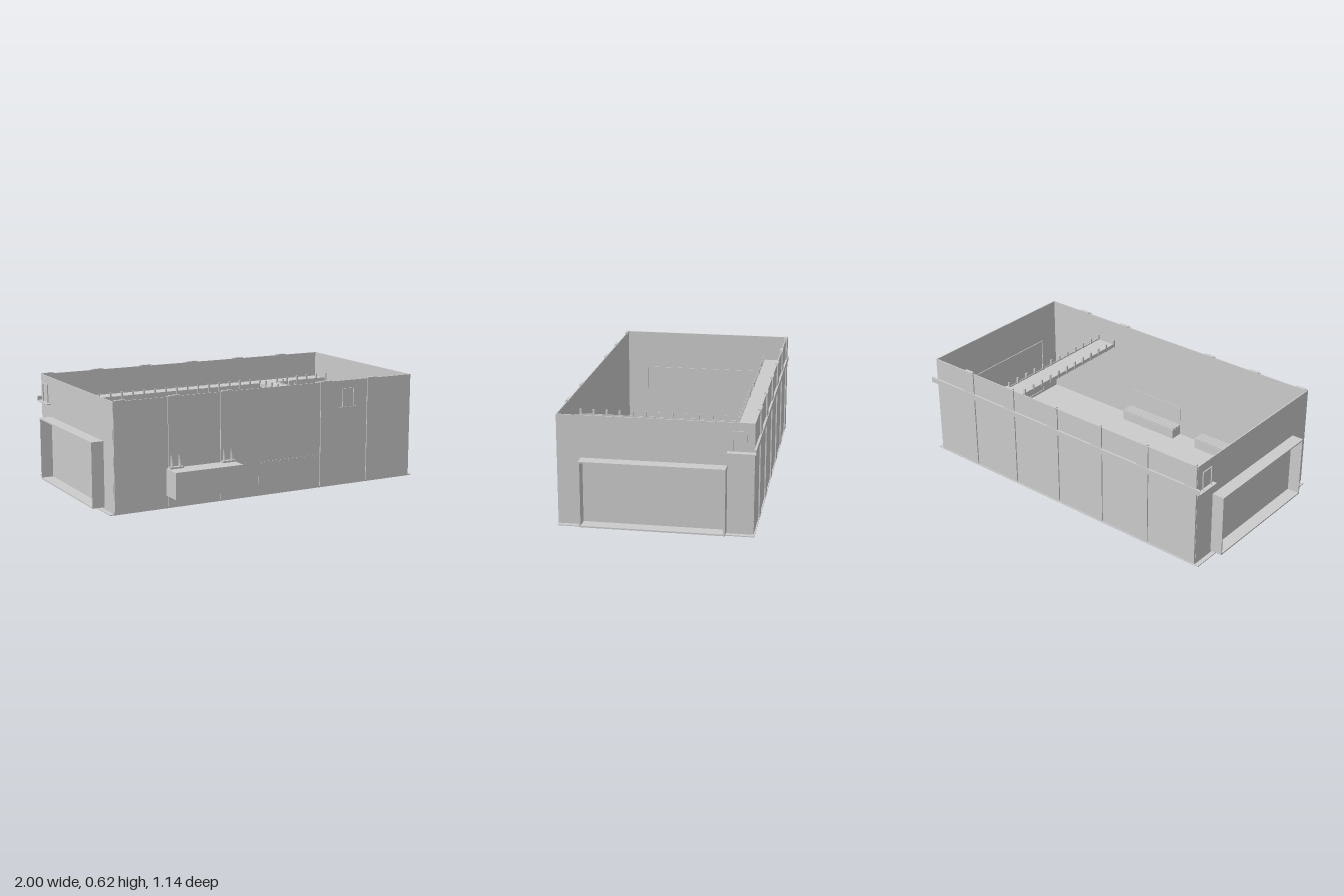
import * as THREE from 'three';

export function createModel() {
  const model = new THREE.Group();
  const mat = new THREE.MeshStandardMaterial({ color: 0xcccccc, side: THREE.DoubleSide, flatShading: true });

  const add = (name, geo, parent = model) => {
    const m = new THREE.Mesh(geo, mat);
    m.name = name;
    parent.add(m);
    return m;
  };
  // Box given by its two extremes on each axis
  const box = (name, x0, x1, y0, y1, z0, z1, parent) => {
    const m = add(name, new THREE.BoxGeometry(x1 - x0, y1 - y0, z1 - z0), parent);
    m.position.set((x0 + x1) / 2, (y0 + y1) / 2, (z0 + z1) / 2);
    return m;
  };
  // Rounded rectangle in the floor plane (shape y = -z)
  const rounded = (Type, x0, x1, z0, z1, r) => {
    const p = new Type(), a = -z1, b = -z0;
    p.moveTo(x0 + r, a);
    p.lineTo(x1 - r, a); p.quadraticCurveTo(x1, a, x1, a + r);
    p.lineTo(x1, b - r); p.quadraticCurveTo(x1, b, x1 - r, b);
    p.lineTo(x0 + r, b); p.quadraticCurveTo(x0, b, x0, b - r);
    p.lineTo(x0, a + r); p.quadraticCurveTo(x0, a, x0 + r, a);
    return p;
  };
  const slab = (name, shape, y, h) => {
    const g = new THREE.ExtrudeGeometry(shape, { depth: h, bevelEnabled: false, curveSegments: 3 });
    add(name, g.rotateX(-Math.PI / 2)).position.y = y;
  };

  // Floor with one open hatch; the other one is closed
  const floor = new THREE.Shape();
  floor.moveTo(-0.955, -0.457); floor.lineTo(0.955, -0.457);
  floor.lineTo(0.955, 0.565); floor.lineTo(-0.955, 0.565);
  floor.closePath();
  floor.holes.push(rounded(THREE.Path, 0.005, 0.515, -0.205, 0.15, 0.07));
  slab('floor', floor, 0.02, 0.005);

  // Collars around the hatches
  for (const x of [-0.69, 0]) {
    const collar = rounded(THREE.Shape, x, x + 0.52, -0.21, 0.155, 0.07);
    collar.holes.push(rounded(THREE.Path, x + 0.006, x + 0.514, -0.204, 0.149, 0.067));
    slab('hatchCollar', collar, 0, 0.028);
  }

  // Walls
  box('frontWall', -0.93, 0.93, 0.02, 0.617, 0.455, 0.461);
  box('backWall', -0.93, 0.93, 0.02, 0.617, -0.559, -0.553);
  for (const s of [-1, 1]) {
    const x = s * 0.928;
    box('endWall', x - 0.003, x + 0.003, 0.02, 0.617, -0.556, 0.458);
  }

  // Flat vertical ribs with a tab hooked over the wall top
  [-0.93, -0.62, -0.31, 0, 0.32, 0.63].forEach((x, i) => {
    box('backRib', x, x + 0.077, 0.03, 0.62, -0.566, -0.558);
    box('backRibTab', x + 0.01, x + 0.067, 0.616, 0.623, -0.566, -0.546);
    if (i === 3) return;
    box('frontRib', x, x + 0.077, 0.03, 0.62, 0.46, 0.467);
    box('frontRibTab', x + 0.01, x + 0.067, 0.616, 0.623, 0.449, 0.467);
  });

  // Open frames on both ends
  for (const s of [-1, 1]) {
    const frame = new THREE.Group();
    frame.name = 'endFrame';
    model.add(frame);
    const a = s > 0 ? 0.92 : -1, b = a + 0.08;
    box('frameTop', a, b, 0.382, 0.39, -0.42, 0.335, frame);
    box('frameBottom', a, b, 0.035, 0.043, -0.42, 0.335, frame);
    box('frameSide', a, b, 0.035, 0.39, -0.42, -0.412, frame);
    box('frameSide', a, b, 0.035, 0.39, 0.327, 0.335, frame);
  }

  // Ledge through the back wall, and its cross beam
  box('ledge', -0.955, 0.968, 0.46, 0.466, -0.57, -0.42);
  box('ledgeRail', -0.955, 0.968, 0.466, 0.486, -0.57, -0.567);
  box('ledgeRailTop', -0.955, 0.968, 0.486, 0.49, -0.57, -0.559);
  box('crossBeam', 0.44, 0.562, 0.46, 0.466, -0.42, 0.465);

  // Low lips and studs on the walkway edges
  const edge = (x0, z0, x1, z1) => {
    const t = 0.002;
    box('edgeLip', x0 - t, x1 + t, 0.452, 0.474, z0 - t, z1 + t);
    const n = Math.round((x1 - x0 + z1 - z0) / 0.07);
    for (let i = 0; i <= n; i++) {
      const x = x0 + (x1 - x0) * i / n, z = z0 + (z1 - z0) * i / n;
      box('edgeStud', x - 0.005, x + 0.005, 0.45, 0.5, z - 0.005, z + 0.005);
    }
  };
  edge(-0.92, -0.42, 0.44, -0.42);
  edge(0.562, -0.42, 0.92, -0.42);
  edge(0.44, -0.42, 0.44, 0.45);
  edge(0.562, -0.42, 0.562, 0.45);

  // Hoop handles at the walkway ends
  const hoop = (x, z, turn) => {
    const g = new THREE.Group();
    g.name = 'hoopHandle';
    model.add(g);
    for (const s of [-1, 1]) box('hoopLeg', s * 0.036 - 0.002, s * 0.036 + 0.002, 0.466, 0.572, -0.003, 0.003, g);
    box('hoopBar', -0.038, 0.038, 0.568, 0.572, -0.003, 0.003, g);
    g.position.set(x, 0, z);
    g.rotation.y = turn;
  };
  hoop(-0.938, -0.483, Math.PI / 2);
  hoop(0.934, -0.483, Math.PI / 2);
  hoop(0.503, 0.464, 0);

  // Box on the front with wedge brackets above it
  box('frontBox', -0.63, -0.23, 0.09, 0.235, 0.46, 0.573);
  const wedge = new THREE.Shape();
  wedge.moveTo(0, 0); wedge.lineTo(0.025, 0); wedge.lineTo(0.005, 0.065); wedge.lineTo(0, 0.065);
  wedge.closePath();
  for (const x of [-0.62, -0.31]) {
    for (const d of [0.012, 0.058]) {
      const g = new THREE.ExtrudeGeometry(wedge, { depth: 0.006, bevelEnabled: false });
      add('wedgeBracket', g.rotateY(-Math.PI / 2)).position.set(x + d + 0.006, 0.24, 0.463);
    }
    box('bracketFoot', x, x + 0.077, 0.235, 0.245, 0.46, 0.49);
  }

  // Slatted vents inside the front wall
  for (const x of [-0.62, -0.075]) {
    box('ventBase', x, x + 0.38, 0.025, 0.08, 0.38, 0.455);
    for (let i = 0; i < 5; i++) {
      const z = 0.382 + i * 0.0155;
      box('ventSlat', x, x + 0.38, 0.08, 0.09, z, z + 0.009);
    }
  }

  // Cover plate with a row of bolts
  box('coverPlate', -0.075, 0.305, 0.09, 0.21, 0.452, 0.463);
  for (let i = 0; i < 7; i++) {
    const bolt = add('coverBolt', new THREE.CylinderGeometry(0.004, 0.004, 0.004, 6));
    bolt.rotation.x = Math.PI / 2;
    bolt.position.set(-0.055 + i * 0.057, 0.198, 0.464);
  }

  return model;
}
